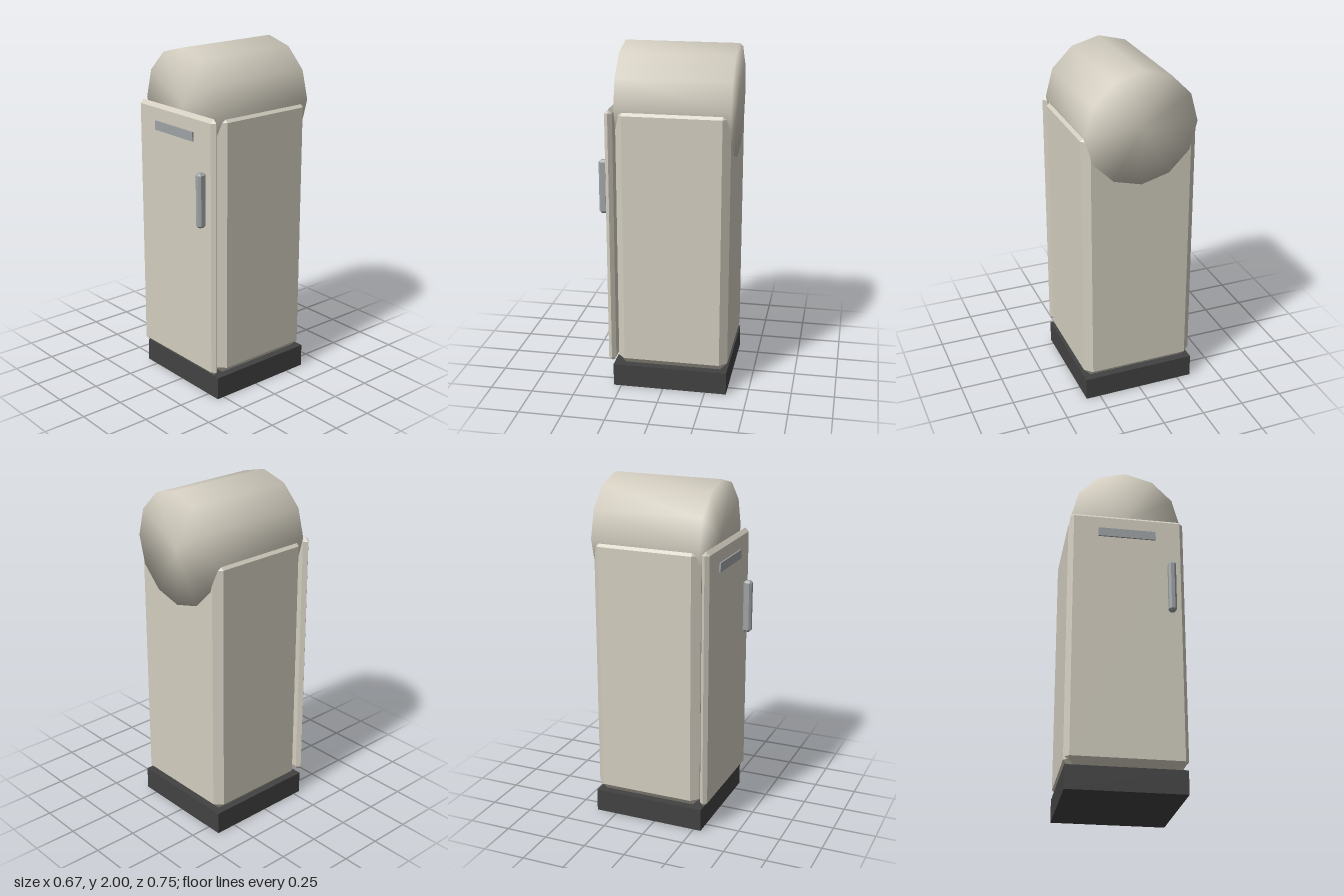
import * as THREE from 'three';
import { ConvexGeometry } from 'three/addons/geometries/ConvexGeometry.js';
import { mergeVertices } from 'three/addons/utils/BufferGeometryUtils.js';

function material(name, color) {
  const m = new THREE.MeshStandardMaterial({ color });
  m.name = name;
  return m;
}

// Box between two corners with every edge cut at 45 degrees
function chamferedBox(min, max, bevel) {
  const points = [];
  for (const sx of [-1, 1]) for (const sy of [-1, 1]) for (const sz of [-1, 1]) {
    const signs = [sx, sy, sz];
    for (let axis = 0; axis < 3; axis++) {
      const p = signs.map((s, i) =>
        (s > 0 ? max[i] : min[i]) - (i === axis ? 0 : s * bevel));
      points.push(new THREE.Vector3(...p));
    }
  }
  return new ConvexGeometry(points);
}

// Plain box between two corners
function plainBox(min, max) {
  const size = max.map((v, i) => v - min[i]);
  const mid = max.map((v, i) => (v + min[i]) / 2);
  return new THREE.BoxGeometry(...size).translate(...mid);
}

export function createModel() {
  const cream = material('cream enamel', 0xd2cdbf);
  const dark = material('dark plinth', 0x424242);
  const metal = material('grey metal', 0x9fa3a5);

  const group = new THREE.Group();
  group.name = 'refrigerator';
  const add = (name, geometry, mat) => {
    const mesh = new THREE.Mesh(geometry, mat);
    mesh.name = name;
    group.add(mesh);
  };

  // Plinth and cabinet
  add('plinth', plainBox([-0.335, 0, -0.375], [0.335, 0.135, 0.295]), dark);
  add('cabinet', chamferedBox([-0.335, 0.138, -0.375], [0.335, 1.68, 0.27], 0.043), cream);

  // Twelve-sided barrel roof, welded so the shading rolls over onto its ends
  let roof = new THREE.CylinderGeometry(0.325, 0.325, 0.647, 12);
  roof.rotateX(Math.PI / 2).translate(0, 1.675, -0.0525);
  roof.deleteAttribute('normal');
  roof.deleteAttribute('uv');
  roof = mergeVertices(roof, 1e-4);
  roof.computeVertexNormals();
  add('barrelRoof', roof, cream);

  // Door with its handle and blank trim plate
  add('door', chamferedBox([-0.335, 0.153, 0.282], [0.335, 1.667, 0.326], 0.0215), cream);
  add('handle', chamferedBox([0.234, 1.052, 0.324], [0.278, 1.366, 0.376], 0.012), metal);
  add('trimPlate', plainBox([-0.168, 1.519, 0.3255], [0.168, 1.572, 0.335]), metal);

  return group;
}
